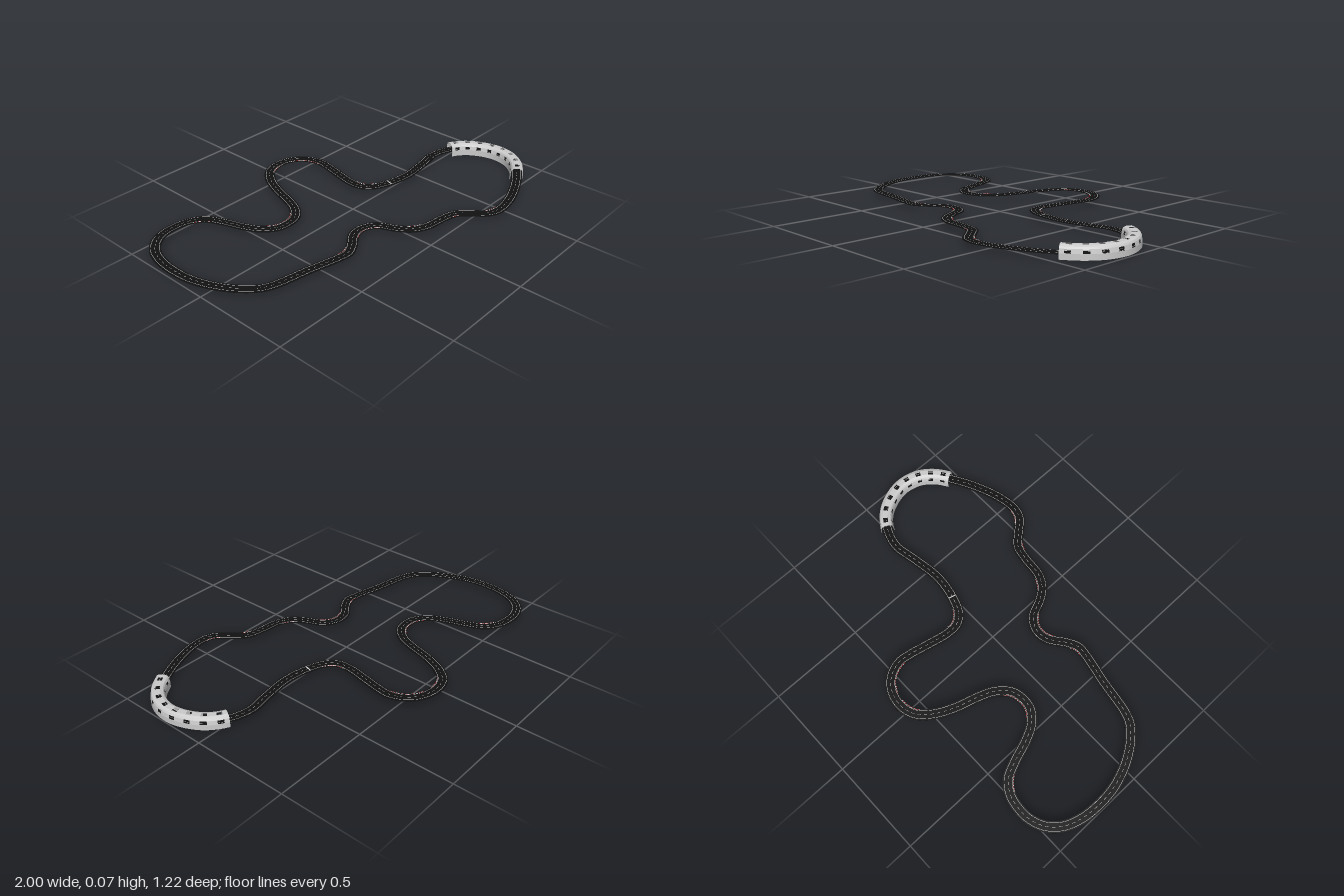
import * as THREE from 'three';

// Centre line of the circuit, [x, z], clockwise seen from above
const PATH = [
  [.295, -.01], [.43, .01], [.59, -.01], [.715, -.03], [.82, 0], [.9, .06], [.95, .15], [.965, .235],
  [.945, .325], [.895, .395], [.82, .45], [.7, .515], [.565, .565], [.45, .58], [.39, .56], [.33, .495],
  [.275, .44], [.2, .42], [.085, .405], [.02, .37], [-.025, .31], [-.065, .225], [-.11, .19], [-.15, .18],
  [-.205, .19], [-.29, .25], [-.345, .275], [-.4, .27], [-.56, .235], [-.745, .2], [-.8, .175], [-.865, .11],
  [-.925, .01], [-.963, -.105], [-.973, -.21], [-.963, -.32], [-.93, -.41], [-.87, -.475], [-.8, -.505],
  [-.735, -.51], [-.655, -.495], [-.59, -.45], [-.55, -.37], [-.51, -.255], [-.47, -.18], [-.41, -.13],
  [-.35, -.12], [-.285, -.135], [-.225, -.195], [-.19, -.275], [-.155, -.39], [-.105, -.495], [-.04, -.565],
  [.04, -.588], [.125, -.57], [.185, -.52], [.215, -.445], [.21, -.38], [.185, -.265], [.165, -.16],
  [.17, -.095], [.21, -.045],
];

// The road climbs gently towards the rear loop
const height = (x, z) => .028 + .002 * x + .008 * Math.exp(-((x - .05) ** 2 + (z + .6) ** 2) / .1);

const curve = new THREE.CatmullRomCurve3(
  PATH.map(([x, z]) => new THREE.Vector3(x, height(x, z), z)), true, 'centripetal');
curve.arcLengthDivisions = 2000;

function frame(u) {
  const v = ((u % 1) + 1) % 1;
  const p = curve.getPointAt(v), t = curve.getTangentAt(v);
  const l = Math.hypot(t.x, t.z);
  return { p, sx: t.z / l, sz: -t.x / l, angle: Math.atan2(t.z, t.x) };
}

// Sweeps a profile of [sideways, up] points along the frames; keep(i, j) may leave cells open
function sweep(name, color, profile, frames, keep = () => true) {
  const pos = [], index = [];
  for (let j = 0; j < profile.length - 1; j++) {
    const base = pos.length / 3;
    frames.forEach(({ p, sx, sz }, i) => {
      for (const [s, y] of [profile[j], profile[j + 1]]) pos.push(p.x + sx * s, p.y + y, p.z + sz * s);
      if (i < frames.length - 1 && keep(i, j)) {
        const a = base + i * 2;
        index.push(a, a + 2, a + 1, a + 1, a + 2, a + 3);
      }
    });
  }
  const geo = new THREE.BufferGeometry();
  geo.setAttribute('position', new THREE.Float32BufferAttribute(pos, 3));
  geo.setIndex(index);
  geo.computeVertexNormals();
  const mesh = new THREE.Mesh(geo, new THREE.MeshStandardMaterial({ color, side: THREE.DoubleSide }));
  mesh.name = name;
  return mesh;
}

const range = (u0, u1, n) => Array.from({ length: n + 1 }, (_, i) => frame(u0 + (u1 - u0) * i / n));

export function createModel() {
  const model = new THREE.Group();
  model.name = 'raceTrack';
  const N = 720, loop = range(0, 1, N);

  // Road slab
  const w = .028, d = -.004;
  model.add(sweep('road', 0x111111, [[-w, 0], [w, 0], [w, d], [-w, d], [-w, 0]], loop));

  // Painted edge lines and dashed centre line
  for (const [side, s] of [['inner', -.02], ['outer', .02]])
    model.add(sweep(side + 'EdgeLine', 0xcccccc, [[s - .001, .0006], [s + .001, .0006]], loop));
  model.add(sweep('centreDashes', 0xcccccc, [[-.001, .0006], [.001, .0006]], loop, i => i % 4 < 2));
  model.add(sweep('startLine', 0xcccccc, [[-.02, .0007], [.02, .0007]], range(0, .0012, 1)));

  // Red and white kerbs on the inside of tight bends
  const turn = i => {
    const a = loop[(i + N - 5) % N].angle, b = loop[(i + 5) % N].angle;
    return Math.atan2(Math.sin(b - a), Math.cos(b - a));
  };
  for (const [side, dir] of [['inner', -1], ['outer', 1]]) {
    const strip = [[dir * .0245 - .0015, .0008], [dir * .0245 + .0015, .0008]];
    const tight = i => turn(i) * -dir > .45;
    model.add(sweep(side + 'RedKerb', 0xaa1515, strip, loop, i => tight(i) && i % 2 === 0));
    model.add(sweep(side + 'WhiteKerb', 0xcccccc, strip, loop, i => tight(i) && i % 2 === 1));
  }

  // Tunnel over the right-hand bend, with windows in both walls and the roof
  const inside = [];
  for (let i = 0; i < 2000; i++) if (curve.getPointAt(i / 2000).x > .822) inside.push(i / 2000);
  const BAYS = 8, STEPS = 10;
  const bend = range(inside[0], inside[inside.length - 1], BAYS * STEPS);
  const arch = [
    [-.035, 0], [-.035, .033], [-.031, .053], [-.026, .061], [-.013, .067],
    [.013, .067], [.026, .061], [.031, .053], [.035, .033], [.035, .006],
  ].map(([s, y]) => [s, y - .03]);
  bend.forEach(f => { f.p.y = .03; });
  const windowRows = [1, 4, 7];
  const isWindow = (i, j) => windowRows.includes(j) && i % STEPS >= 3 && i % STEPS < 7;
  model.add(sweep('tunnelShell', 0xcccccc, arch, bend, (i, j) => !isWindow(i, j)));

  // Inner lining gives the tunnel wall its thickness
  const lining = arch.map(([s, y]) => [s * .93, y - (y > .02 ? .003 : 0)]);
  model.add(sweep('tunnelLining', 0xcccccc, lining, bend, (i, j) => !isWindow(i, j)));

  // Rims closing the shell to the lining at both mouths
  const rims = new THREE.Group();
  rims.name = 'tunnelMouthRims';
  for (const { p, sx, sz } of [bend[0], bend[bend.length - 1]]) {
    const outline = [...arch, ...lining.slice().reverse()].map(([s, y]) => new THREE.Vector2(s, y));
    const rim = new THREE.Mesh(new THREE.ShapeGeometry(new THREE.Shape(outline)),
      new THREE.MeshStandardMaterial({ color: 0xcccccc, side: THREE.DoubleSide }));
    rim.position.copy(p);
    rim.rotation.y = Math.atan2(-sz, sx);
    rim.name = 'tunnelMouthRim';
    rims.add(rim);
  }
  model.add(rims);
  return model;
}
